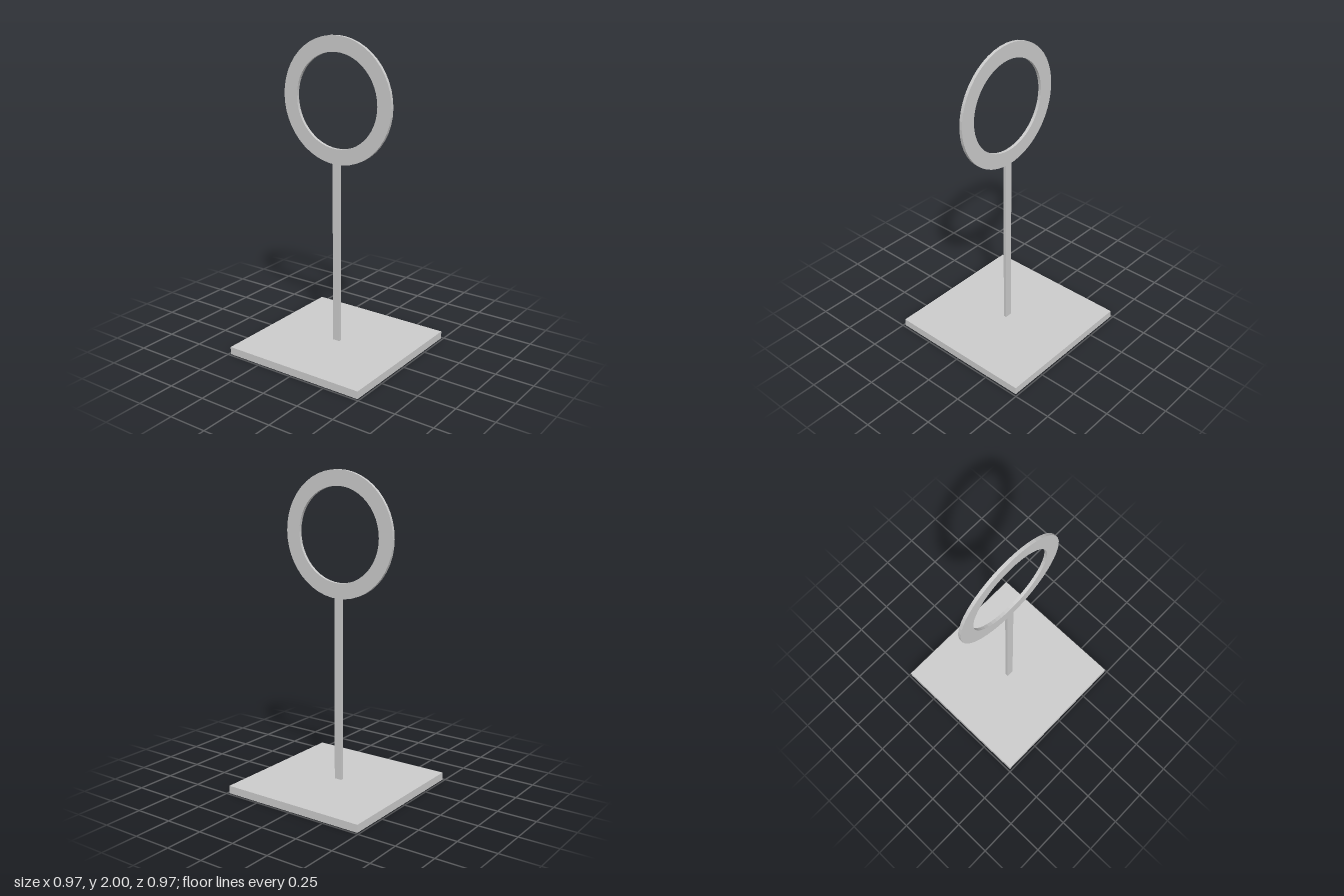
import * as THREE from 'three';

export function createModel() {
  const group = new THREE.Group();
  const material = new THREE.MeshStandardMaterial({ color: 0xcccccc });
  const depth = 0.02; // thickness shared by post and ring, from z = 0 forwards
  const baseHeight = 0.05;
  const outerRadius = 0.39;
  const innerRadius = 0.293;
  const ringY = 2 - outerRadius;

  const add = (name, geometry, x, y, z) => {
    const mesh = new THREE.Mesh(geometry, material);
    mesh.name = name;
    mesh.position.set(x, y, z);
    group.add(mesh);
  };

  // Square base plate
  add('base', new THREE.BoxGeometry(0.974, baseHeight, 0.974), 0, baseHeight / 2, 0);

  // Flat post, its top just meeting the ring
  const postTop = ringY - outerRadius + 0.002;
  const postHeight = postTop - baseHeight;
  add('post', new THREE.BoxGeometry(0.05, postHeight, depth), 0, baseHeight + postHeight / 2, depth / 2);

  // Flat ring
  const shape = new THREE.Shape().absarc(0, 0, outerRadius, 0, Math.PI * 2, false);
  shape.holes.push(new THREE.Path().absarc(0, 0, innerRadius, 0, Math.PI * 2, true));
  const ring = new THREE.ExtrudeGeometry(shape, { depth, bevelEnabled: false, curveSegments: 24 });
  add('ring', ring, 0, ringY, 0);

  return group;
}
